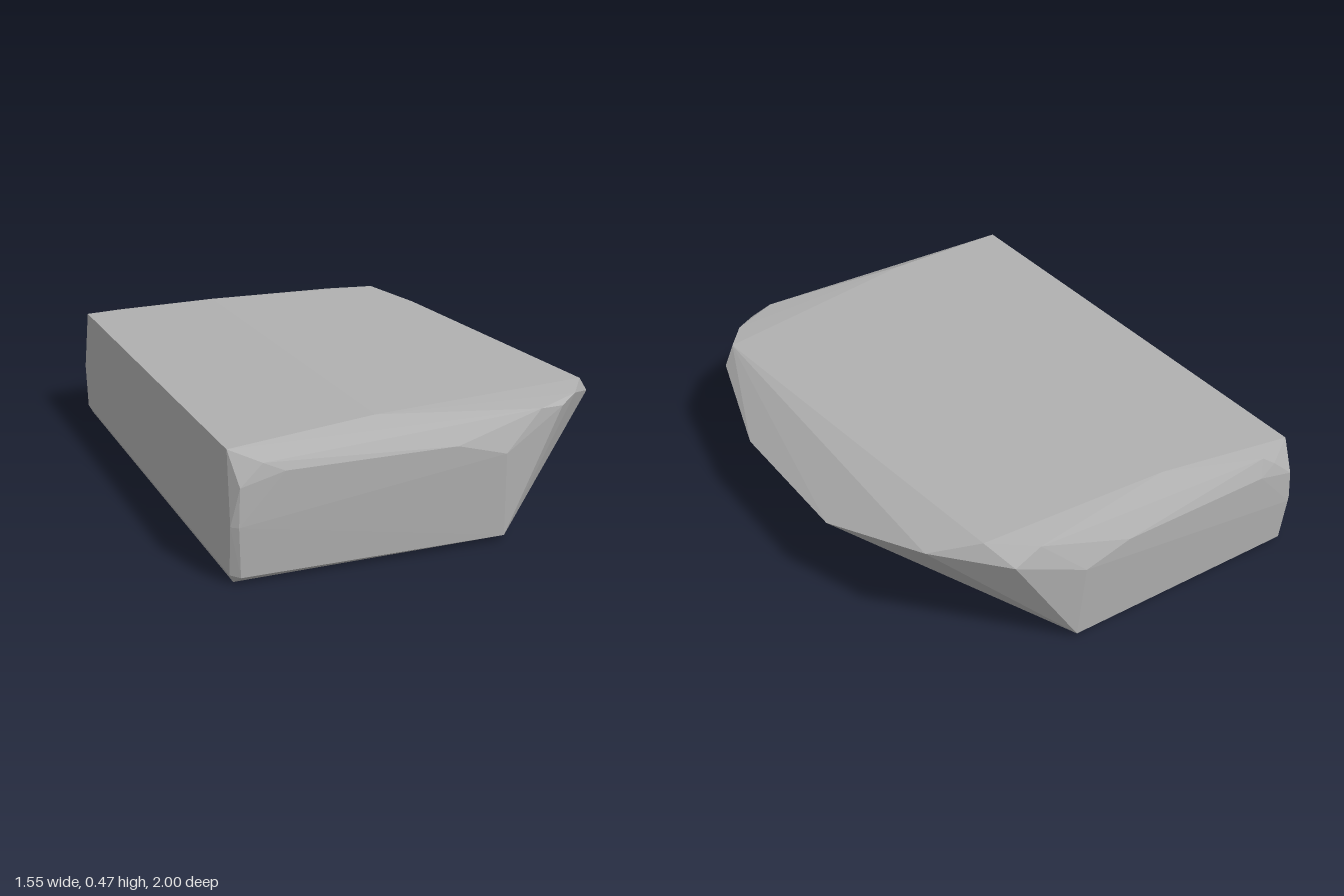
import * as THREE from 'three';
import { ConvexGeometry } from 'three/addons/geometries/ConvexGeometry.js';

export function createModel() {
  const group = new THREE.Group();
  const stoneGrey = new THREE.MeshStandardMaterial({ color: 0xb0b0b0, flatShading: true });
  stoneGrey.name = 'stoneGrey';
  const points = [];
  const add = (x, y, z) => points.push(new THREE.Vector3(x, y, z));

  // corners shared by both ends of the slab
  for (const s of [1, -1]) {
    // flat left face
    add(-0.765, 0, s * 0.95);
    add(-0.78, 0.03, s * 0.96);
    add(-0.78, 0.2, s * 0.98);
    add(-0.77, 0.44, s * 0.93);
    // end wall
    add(-0.75, 0.025, s * 0.985);
    add(-0.757, 0.2, s * 0.998);
    add(-0.75, 0.33, s * 0.995);
    add(-0.67, 0.4, s * 0.985);
    add(-0.6, 0.37, s);
    add(0, 0.37, s);
    add(0.18, 0.32, s);
    add(0.19, 0.02, s * 0.98);
    // underside and pointed nose
    add(0.33, 0, s * 0.3);
    add(0.775, 0.31, s * 0.29);
  }

  // front shoulder and top rim
  add(-0.24, 0.47, 0.87);
  add(0.34, 0.44, 0.94);
  add(0.44, 0.43, 0.91);
  add(0.53, 0.445, 0.84);
  add(0.62, 0.455, 0.72);
  add(0.67, 0.395, 0.69);

  // back shoulder and top rim
  add(-0.62, 0.435, -0.975);
  add(-0.24, 0.47, -0.87);
  add(0.33, 0.45, -0.94);
  add(0.43, 0.4, -0.94);
  add(0.49, 0.468, -0.84);
  add(0.64, 0.41, -0.72);

  const slab = new THREE.Mesh(new ConvexGeometry(points), stoneGrey);
  slab.name = 'stoneSlab';
  group.add(slab);
  return group;
}
